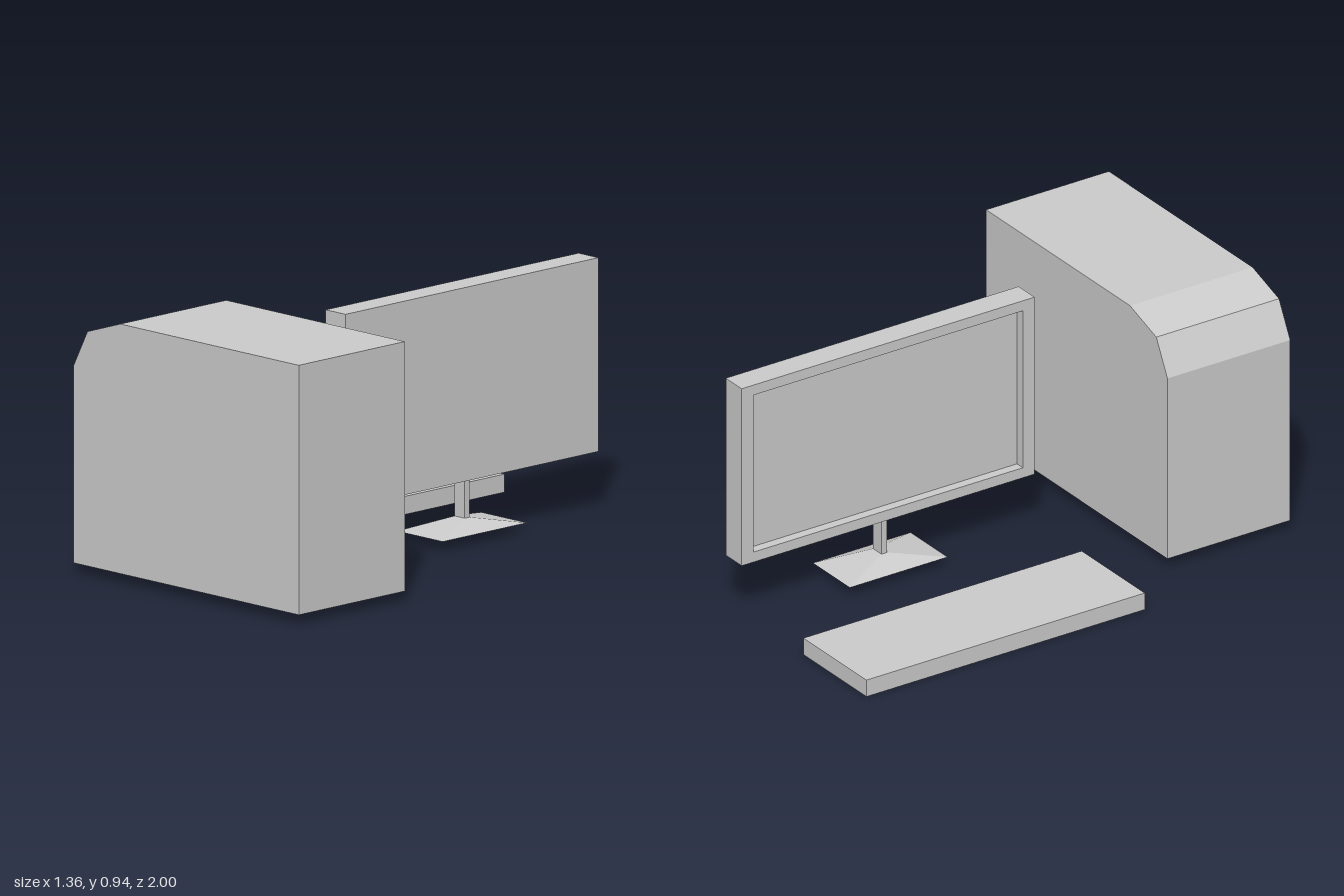
import * as THREE from 'three';

const grey = new THREE.MeshStandardMaterial({ color: 0xcccccc, flatShading: true });
const thin = new THREE.MeshStandardMaterial({ color: 0xcccccc, flatShading: true, side: THREE.DoubleSide });

function add(parent, name, geometry, material = grey) {
  const mesh = new THREE.Mesh(geometry, material);
  mesh.name = name;
  parent.add(mesh);
  return mesh;
}

// Box given by its lower and upper corners
function boxBetween([x0, y0, z0], [x1, y1, z1]) {
  return new THREE.BoxGeometry(x1 - x0, y1 - y0, z1 - z0)
    .translate((x0 + x1) / 2, (y0 + y1) / 2, (z0 + z1) / 2);
}

const rect = (x0, y0, x1, y1) =>
  [[x0, y0], [x1, y0], [x1, y1], [x0, y1]].map(p => new THREE.Vector2(...p));

// Four sloping sides between two centred rectangles, open above and below
function slopedSides(y0, halfX0, halfZ0, y1, halfX1, halfZ1) {
  const corners = [[1, 1], [1, -1], [-1, -1], [-1, 1]];
  const positions = [];
  corners.forEach(([ax, az], i) => {
    const [bx, bz] = corners[(i + 1) % 4];
    const a = [ax * halfX0, y0, az * halfZ0], b = [bx * halfX0, y0, bz * halfZ0];
    const c = [bx * halfX1, y1, bz * halfZ1], d = [ax * halfX1, y1, az * halfZ1];
    positions.push(...a, ...b, ...c, ...a, ...c, ...d);
  });
  const geometry = new THREE.BufferGeometry();
  geometry.setAttribute('position', new THREE.Float32BufferAttribute(positions, 3));
  geometry.computeVertexNormals();
  return geometry;
}

export function createModel() {
  const model = new THREE.Group();
  model.name = 'desktopComputer';

  // Computer case with a bevelled upper corner
  const profile = [[-0.46, 0.037], [0.677, 0.037], [0.677, 0.945],
    [-0.225, 0.945], [-0.39, 0.89], [-0.46, 0.755]];
  const caseShape = new THREE.Shape(profile.map(p => new THREE.Vector2(...p)));
  add(model, 'computerCase',
    new THREE.ExtrudeGeometry(caseShape, { depth: 0.527, bevelEnabled: false }).translate(0, 0, 0.473));

  // Keyboard slab
  add(model, 'keyboard', boxBetween([-0.68, 0, -0.97], [-0.285, 0.066, 0.225]));

  // Monitor: back panel and raised frame around the screen, facing the keyboard
  const monitor = new THREE.Group();
  monitor.name = 'monitor';
  model.add(monitor);
  const [z0, z1, y0, y1] = [-1, 0.257, 0.217, 0.922];
  add(monitor, 'screenPanel', boxBetween([0.095, y0, z0], [0.158, y1, z1]));
  const frame = new THREE.Shape(rect(z0, y0, z1, y1));
  frame.holes.push(new THREE.Path(rect(z0 + 0.05, y0 + 0.04, z1 - 0.05, y1 - 0.04).reverse()));
  add(monitor, 'screenFrame',
    new THREE.ExtrudeGeometry(frame, { depth: 0.037, bevelEnabled: false })
      .rotateY(-Math.PI / 2).translate(0.095, 0, 0));

  // Stand: post on a shallow hollow pyramid foot
  const stand = new THREE.Group();
  stand.name = 'stand';
  stand.position.set(0.107, 0, -0.372);
  monitor.add(stand);
  add(stand, 'post', boxBetween([-0.026, 0.075, -0.0125], [0.026, y0, 0.0125]));
  add(stand, 'foot', slopedSides(0.037, 0.116, 0.21, 0.075, 0.026, 0.0125), thin);

  return model;
}
